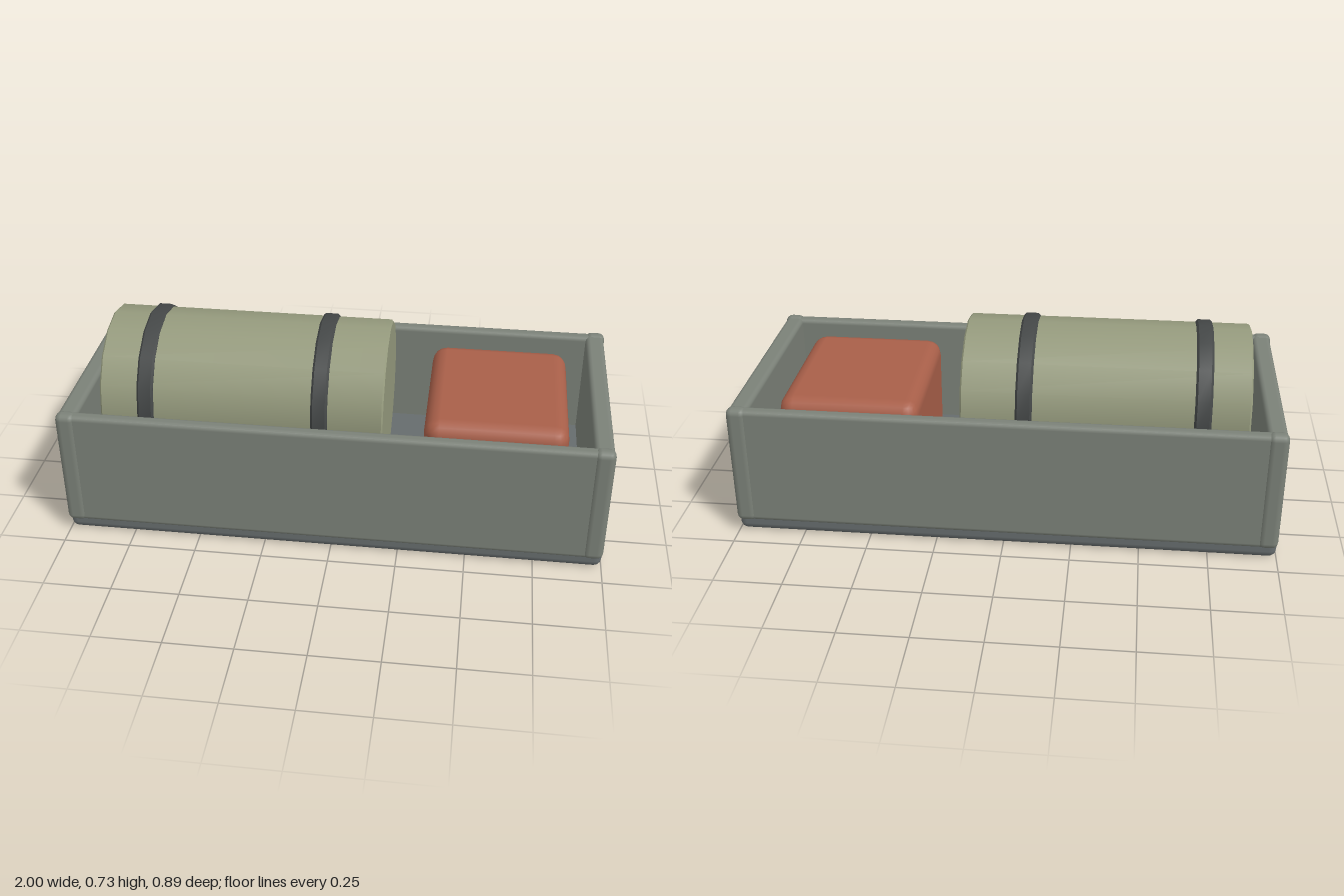
import * as THREE from 'three';
import { RoundedBoxGeometry } from 'three/addons/geometries/RoundedBoxGeometry.js';
import { toCreasedNormals } from 'three/addons/utils/BufferGeometryUtils.js';

const mat = (color) => new THREE.MeshStandardMaterial({ color });

export function createModel() {
  const model = new THREE.Group();
  const wallMat = mat(0x7b8178), baseMat = mat(0x666c6d), rollMat = mat(0x959a7d);
  const strapMat = mat(0x444747), caseMat = mat(0xa85f49), latchMat = mat(0xb8965c);

  const add = (name, geometry, material) => {
    const mesh = new THREE.Mesh(geometry, material);
    mesh.name = name;
    model.add(mesh);
    return mesh;
  };

  // Rounded block given by its limits on each axis
  const block = (name, [x0, x1], [y0, y1], [z0, z1], radius, material) => {
    const geometry = new RoundedBoxGeometry(x1 - x0, y1 - y0, z1 - z0, 2, radius);
    const mesh = add(name, geometry, material);
    mesh.position.set((x0 + x1) / 2, (y0 + y1) / 2, (z0 + z1) / 2);
    return mesh;
  };

  // Sixteen-sided drum lying along x, with narrow chamfered rims
  const drum = (name, x0, x1, y, radius, chamfer, material) => {
    const h = (x1 - x0) / 2;
    const profile = [
      [0, -h], [radius - chamfer, -h], [radius, -h + chamfer],
      [radius, h - chamfer], [radius - chamfer, h], [0, h],
    ].map(([r, a]) => new THREE.Vector2(r, a));
    const geometry = toCreasedNormals(new THREE.LatheGeometry(profile, 16), 0.6);
    geometry.rotateZ(-Math.PI / 2);
    add(name, geometry, material).position.set((x0 + x1) / 2, y, 0);
  };

  // Tray floor
  block('trayBase', [-1, 1], [0, 0.1], [-0.42, 0.42], 0.03, baseMat);

  // Long walls, end walls and corner posts
  for (const s of [-1, 1]) {
    const span = (a, b) => (s > 0 ? [a, b] : [-b, -a]);
    block(s > 0 ? 'frontWall' : 'backWall', [-0.985, 0.985], [0.055, 0.515], span(0.39, 0.439), 0.018, wallMat);
    block(s > 0 ? 'leftWall' : 'rightWall', span(0.925, 0.996), [0.07, 0.515], [-0.425, 0.425], 0.018, wallMat);
    for (const t of [-1, 1]) {
      const z = t > 0 ? [0.39, 0.445] : [-0.445, -0.39];
      block('cornerPost', span(0.925, 1), [0.053, 0.52], z, 0.024, wallMat);
    }
  }

  // Bedroll with two straps
  drum('bedroll', -0.88, 0.175, 0.44, 0.28, 0.006, rollMat);
  for (const x of [-0.708, -0.06]) {
    drum('bedrollStrap', x - 0.031, x + 0.031, 0.44, 0.29, 0.008, strapMat);
  }

  // Storage case and its latch on the back
  block('storageCase', [0.325, 0.848], [0.095, 0.5], [-0.31, 0.31], 0.055, caseMat);
  block('caseLatch', [0.54, 0.632], [0.31, 0.38], [-0.34, -0.3], 0.006, latchMat);

  return model;
}
